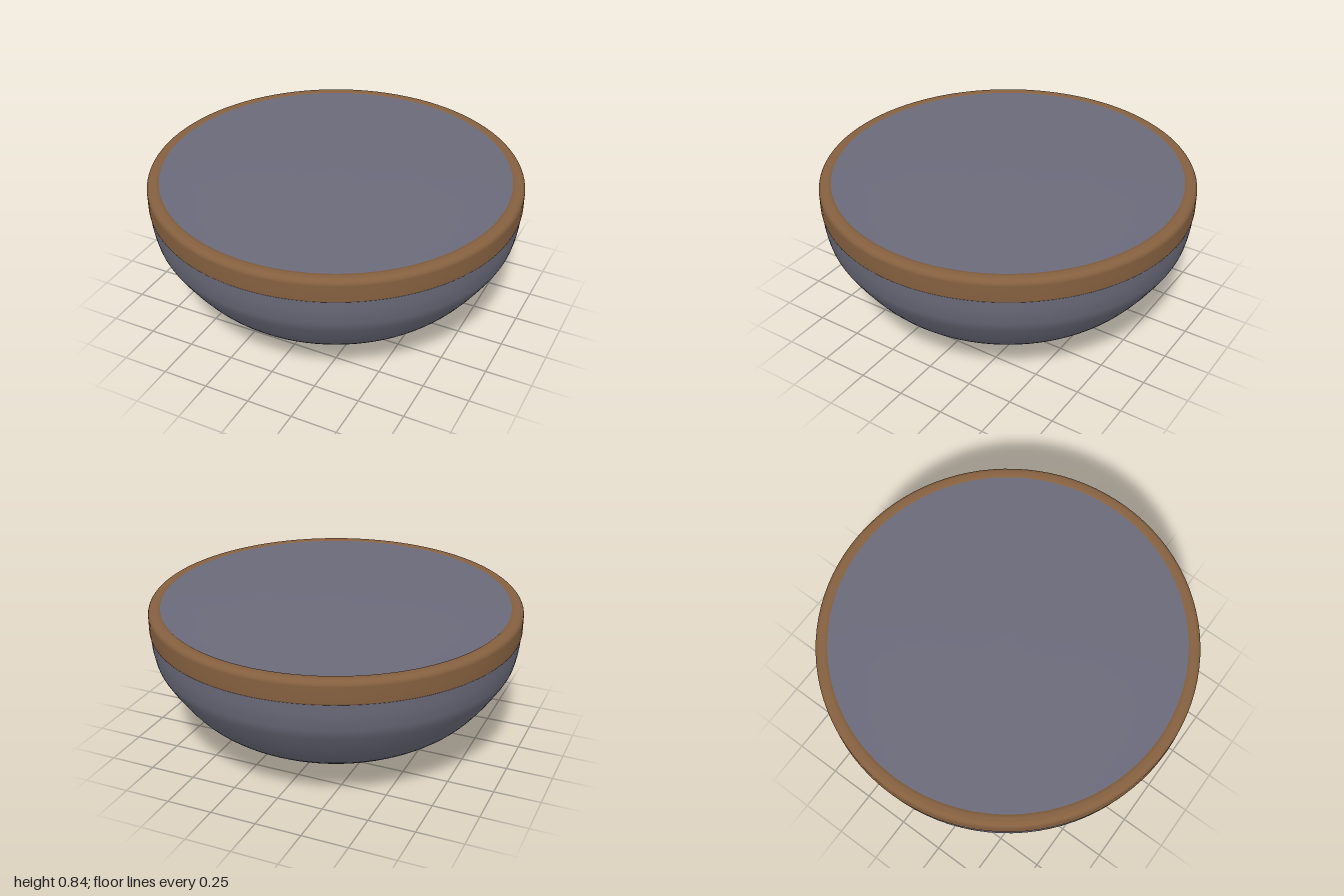
import * as THREE from 'three';

const SEGMENTS = 96;

// Revolves a profile (listed from the bottom, outward and up) around the y axis
function turned(name, points, color) {
  const geometry = new THREE.LatheGeometry(points, SEGMENTS);
  const mesh = new THREE.Mesh(geometry, new THREE.MeshStandardMaterial({ color }));
  mesh.name = name;
  return mesh;
}

const vectors = (pairs) => pairs.map(([x, y]) => new THREE.Vector2(x, y));
const smooth = (pairs, n) => new THREE.SplineCurve(vectors(pairs)).getPoints(n);

export function createModel() {
  const group = new THREE.Group();
  group.name = 'bowl';
  const slate = 0x6a6a7a;
  const wood = 0x85603f;

  // Rounded body with a shallow underside
  const body = smooth([
    [0, 0.003], [0.2, 0.018], [0.39, 0.06], [0.58, 0.145], [0.79, 0.285],
    [0.945, 0.49], [0.985, 0.6], [0.996, 0.72],
  ], 48);
  group.add(turned('body', body, slate));

  // Band around the mouth with softened edges
  const r = 0.03;
  const band = [[0.95, 0.705], [0.99, 0.705], [0.998, 0.708], [1, 0.715], [1, 0.75]];
  for (let i = 0; i <= 6; i++) {
    const a = (i / 6) * Math.PI / 2;
    band.push([1 - r + r * Math.cos(a), 0.83 - r + r * Math.sin(a)]);
  }
  band.push([0.955, 0.83], [0.94, 0.829], [0.92, 0.815]);
  group.add(turned('rim', vectors(band), wood));

  // Slightly domed top surface
  const top = smooth([[0.945, 0.826], [0.75, 0.828], [0.55, 0.833], [0.3, 0.842], [0, 0.846]], 24);
  top[top.length - 1].x = 0;
  group.add(turned('topSurface', top, slate));

  return group;
}
